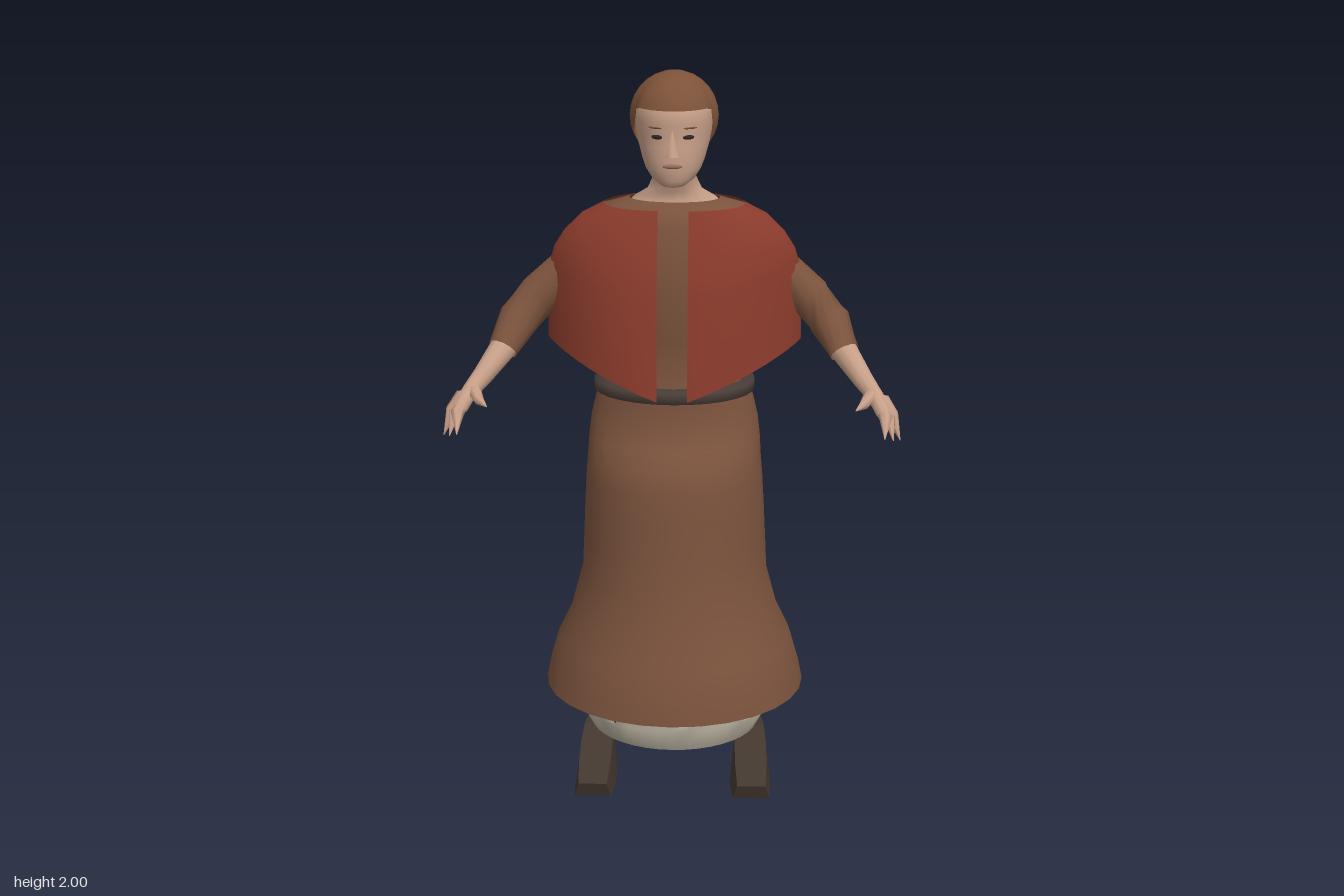
import * as THREE from 'three';

const mat = (name, color, side = THREE.FrontSide) => {
  const m = new THREE.MeshStandardMaterial({ color, side });
  m.name = name;
  return m;
};

// Smooth skin over a grid of points; rows run bottom to top, columns run round from the front
function surface(rows, cols, closed, point) {
  const pos = [], idx = [], n = closed ? cols : cols + 1;
  for (let i = 0; i <= rows; i++)
    for (let j = 0; j < n; j++) pos.push(...point(i, j));
  for (let i = 0; i < rows; i++)
    for (let j = 0; j < cols; j++) {
      const a = i * n + j, b = i * n + (j + 1) % n, c = b + n, d = a + n;
      idx.push(a, b, c, a, c, d);
    }
  const g = new THREE.BufferGeometry();
  g.setAttribute('position', new THREE.Float32BufferAttribute(pos, 3));
  g.setIndex(idx);
  g.computeVertexNormals();
  return g;
}

// Upright loft; each ring is [y, half width, front z, back z]
function loft(rings, cols = 24) {
  return surface(rings.length - 1, cols, true, (i, j) => {
    const [y, w, f, b] = rings[i], a = j / cols * Math.PI * 2;
    return [w * Math.sin(a), y, (f + b) / 2 + (f - b) / 2 * Math.cos(a)];
  });
}

// Tapered limb along a path
function limb(points, radii, cols = 10) {
  const p = points.map(q => new THREE.Vector3(...q)), up = new THREE.Vector3(0, 1, 0);
  return surface(p.length - 1, cols, true, (i, j) => {
    const dir = p[Math.min(i + 1, p.length - 1)].clone().sub(p[Math.max(i - 1, 0)]).normalize();
    const a = j / cols * Math.PI * 2;
    return new THREE.Vector3(Math.sin(a), 0, Math.cos(a)).multiplyScalar(radii[i])
      .applyQuaternion(new THREE.Quaternion().setFromUnitVectors(up, dir)).add(p[i]).toArray();
  });
}

export function createModel() {
  const group = new THREE.Group();
  const dress = mat('brown wool', 0x7b533d, THREE.DoubleSide);
  const red = mat('red cloth', 0x8a3b2c, THREE.DoubleSide);
  const linen = mat('pale linen', 0xb3ab9a, THREE.DoubleSide);
  const skin = mat('skin', 0xc79f88);
  const hairMat = mat('hair brown', 0x7d5239, THREE.DoubleSide);
  const leather = mat('dark leather', 0x43372f);
  const beltMat = mat('belt', 0x483c37);
  const dark = mat('eye dark', 0x2e2522);
  const lip = mat('lip', 0x9a6a5a);
  const add = (name, geo, m, parent = group) => {
    const mesh = new THREE.Mesh(geo, m);
    mesh.name = name;
    parent.add(mesh);
    return mesh;
  };

  // Skirt, bodice and belt
  add('skirt', loft([
    [.28, .36, .32, -.325], [.34, .348, .312, -.32], [.42, .325, .29, -.295], [.5, .287, .262, -.268],
    [.62, .255, .237, -.25], [.72, .25, .225, -.23], [.82, .245, .216, -.205], [.9, .24, .21, -.185],
    [.96, .235, .197, -.172], [1.01, .232, .163, -.165], [1.06, .226, .138, -.168],
    [1.12, .212, .132, -.162], [1.17, .195, .13, -.155]], 28), dress);
  add('bodice', loft([
    [1.14, .19, .125, -.13], [1.2, .168, .105, -.095], [1.3, .17, .112, -.09], [1.42, .185, .13, -.1],
    [1.53, .215, .118, -.115], [1.6, .222, .098, -.12], [1.64, .2, .085, -.115], [1.66, .12, .045, -.09]]), dress);
  add('belt', loft([[1.14, .2, .145, -.15], [1.143, .216, .163, -.162], [1.172, .216, .163, -.162],
    [1.175, .19, .125, -.13]], 28), beltMat);

  // Underskirt with a ragged upper edge
  const cols = 40, notch = [.3, .31, .22, .3, .29, .26, .31, .24, .3, .32];
  add('underskirt', surface(2, cols, true, (i, j) => {
    const a = j / cols * Math.PI * 2, top = notch[(j * 7) % 10];
    const y = [.15, .218, top][i], w = [.235, .27, .27 - (top - .218) * .45][i];
    return [w * Math.sin(a), y, w * .88 * Math.cos(a) - .005];
  }), linen);

  // Open cape: [share of drop, half width, front z, back z]
  const capeRows = [[0, .185, .1, .13], [.08, .245, .115, .133], [.2, .29, .137, .138], [.32, .318, .155, .145],
    [.46, .333, .173, .155], [.75, .337, .192, .188], [1, .338, .207, .225]];
  add('cape', surface(capeRows.length - 1, 40, false, (i, j) => {
    const [f, w, zf, zb] = capeRows[i];
    const a = (j / 40 - .5) * Math.PI * 2; // from back, round the front slit, seen as two halves below
    const b = Math.PI - Math.abs(a), side = a < 0 ? 1 : -1;
    const s = Math.sin(b), c = Math.cos(b), ac = Math.abs(c);
    const front = c > 0, k = Math.min(1, f * 2);
    const hem = front ? 1.165 + .118 * s : 1.283 - .173 * ac ** 2.5;
    const x = front ? .04 + (w - .04) * s : w * s;
    const z = front ? zf * ac ** (1 + .6 * k) : -zb * ac ** (1 + .4 * k);
    return [side * x, 1.65 - (1.65 - hem) * f, z];
  }), red);

  // Neck and head
  add('neck', loft([[1.62, .14, .05, -.11], [1.66, .11, .035, -.09], [1.685, .072, .038, -.068],
    [1.72, .057, .058, -.06], [1.78, .058, .08, -.06]], 18), skin);
  add('head', loft([[1.712, .003, .105, .08], [1.718, .03, .128, .06], [1.735, .054, .137, .03],
    [1.76, .072, .141, -.01], [1.785, .082, .143, -.045], [1.82, .092, .141, -.075], [1.85, .098, .137, -.09],
    [1.88, .101, .142, -.095], [1.92, .1, .138, -.09], [1.96, .075, .1, -.06], [1.985, .01, .03, .01]], 26), skin);
  const nose = add('nose', new THREE.ConeGeometry(.02, .07, 6), skin);
  nose.position.set(0, 1.835, .144);
  nose.rotation.x = -.15;
  const blob = (name, m, x, y, z, sx, sy, sz) => {
    const mesh = add(name, new THREE.SphereGeometry(1, 12, 8), m);
    mesh.position.set(x, y, z);
    mesh.scale.set(sx, sy, sz);
    return mesh;
  };
  blob('mouth', lip, 0, 1.775, .141, .025, .006, .006);
  for (const s of [-1, 1]) {
    blob('eye', dark, s * .04, 1.848, .126, .016, .006, .006).rotation.y = s * .4;
    blob('brow', hairMat, s * .042, 1.872, .127, .022, .003, .004).rotation.y = s * .4;
  }

  // Hair cap with a straight fringe, and a bun
  add('hair', surface(10, 36, true, (i, j) => {
    const a = j / 36 * Math.PI * 2, b = Math.min(a, Math.PI * 2 - a);
    const drop = THREE.MathUtils.smoothstep(b, 1.0, 1.35), nape = THREE.MathUtils.smoothstep(b, 1.4, 2.7);
    const hem = 1.917 - .1 * drop - .035 * nape;
    const t = Math.acos((hem - 1.885) / .115) * (1 - i / 10) + .001;
    const r = Math.sin(t);
    return [.115 * r * Math.sin(a), 1.885 + .115 * Math.cos(t), .02 + .13 * r * Math.cos(a)];
  }), hairMat);
  blob('bun', hairMat, 0, 1.882, -.115, .03, .03, .03);

  // Arms, hands, legs and shoes
  for (const s of [-1, 1]) {
    const side = s > 0 ? 'left' : 'right';
    const m = (x, y, z) => [s * x, y, z];
    add(side + 'Sleeve', limb([m(.18, 1.53, -.02), m(.29, 1.455, -.015), m(.36, 1.395, -.005), m(.415, 1.335, .025),
      m(.452, 1.27, .085)], [.06, .06, .058, .055, .04], 12), dress);
    add(side + 'Forearm', limb([m(.42, 1.32, .04), m(.45, 1.275, .085), m(.5, 1.215, .15), m(.53, 1.185, .195),
      m(.552, 1.15, .235)], [.03, .036, .027, .022, .02]), skin);
    const hand = new THREE.Group();
    hand.name = side + 'Hand';
    group.add(hand);
    // Thumb first, then fingers fanned out from the palm
    [[.475, 1.17, .275], [.55, 1.108, .318], [.575, 1.09, .275], [.595, 1.08, .24]].forEach((tip, k) => {
      const root = k ? m(.528 + k * .006, 1.178, .2) : m(.52, 1.19, .19);
      const mid = k ? m(.548 + k * .008, 1.145, .262 - k * .012) : m(.5, 1.178, .24);
      add(k ? 'finger' : 'thumb', limb([root, mid, m(...tip)], [.02, k ? .018 : .014, .001], 6), skin, hand);
    });
    add(side + 'Leg', limb([m(.2, .1, -.025), m(.2, .25, -.025), m(.14, .6, 0)], [.018, .025, .05]), skin);

    // Wedge shoe, tall at the heel and low at the toe
    let shoe = new THREE.BoxGeometry(1, 1, 1, 2, 2, 4);
    const p = shoe.attributes.position;
    for (let i = 0; i < p.count; i++) {
      const t = p.getZ(i) + .5, v = p.getY(i) + .5;
      const height = t < .3 ? .135 : .135 - (t - .3) / .7 * .09;
      const width = (.085 + .03 * Math.sin(t * 2.6)) * (1 - .22 * v);
      p.setXYZ(i, s * (.213 + .008 * t) + p.getX(i) * width, v * height, -.05 + .26 * t - (1 - v) * t * .015);
    }
    shoe = shoe.toNonIndexed();
    shoe.computeVertexNormals();
    add(side + 'Shoe', shoe, leather);
  }
  return group;
}
